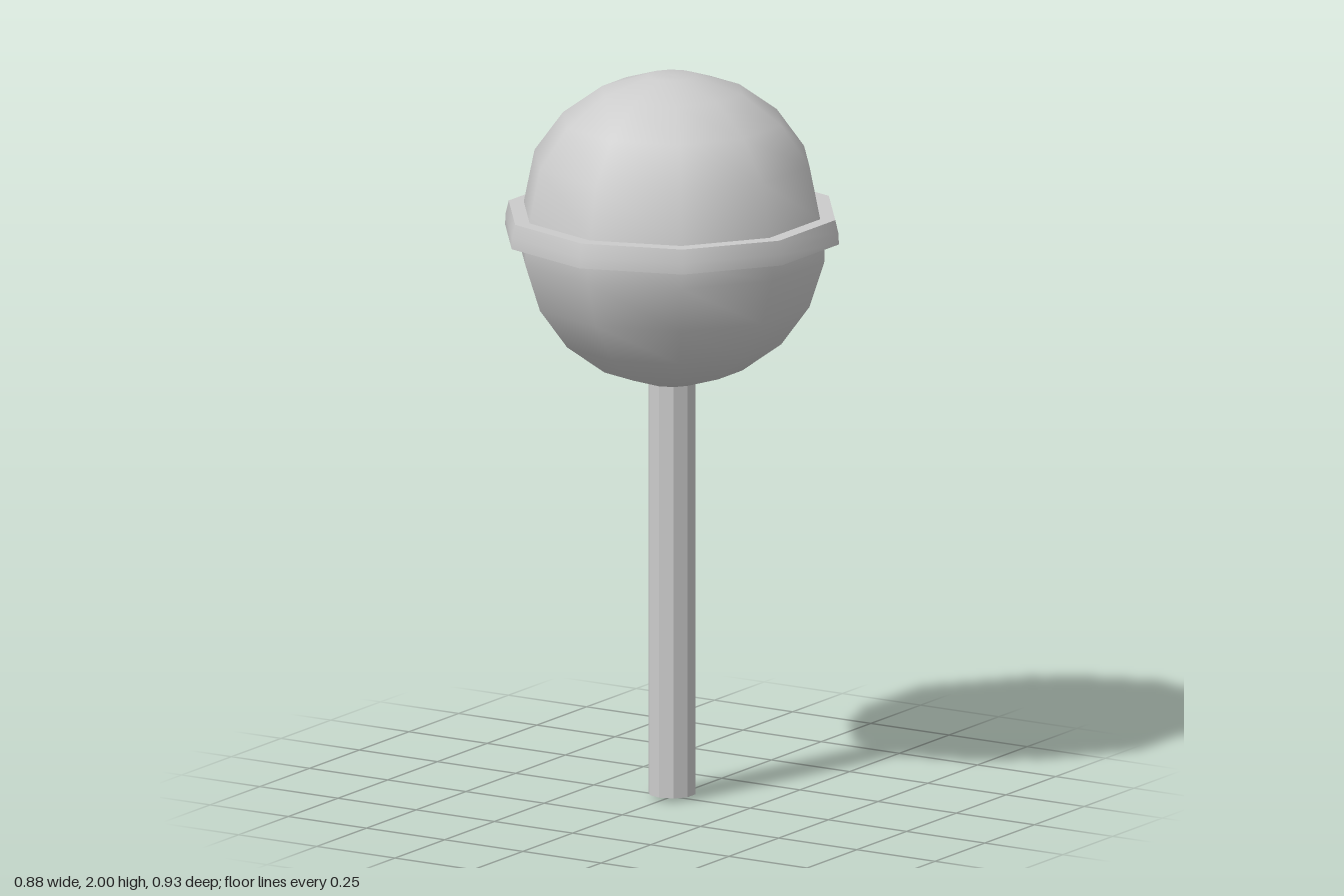
import * as THREE from 'three';

const SIDES = 10;
const material = new THREE.MeshStandardMaterial({ color: 0xcccccc });
const flatMaterial = new THREE.MeshStandardMaterial({ color: 0xcccccc, flatShading: true });

// Ten-sided turned surface; the profile runs from bottom to top
function turned(name, profile, mat = material) {
  const points = profile.map(([r, y]) => new THREE.Vector2(r, y));
  const mesh = new THREE.Mesh(new THREE.LatheGeometry(points, SIDES), mat);
  mesh.name = name;
  return mesh;
}

// Points of the ball's outline, in degrees up from its lowest point
const RADIUS = 0.43, CENTRE = 1.577;
function arc(from, to) {
  const points = [];
  for (let a = from; a <= to; a += 18) {
    const t = THREE.MathUtils.degToRad(a);
    points.push([RADIUS * Math.sin(t), CENTRE - RADIUS * Math.cos(t)]);
  }
  return points;
}

export function createModel() {
  const model = new THREE.Group();
  model.name = 'lollipop';

  // Faceted stick with a slightly bulged foot
  model.add(turned('stick', [[0, 0], [0.065, 0.01], [0.065, 1.18]], flatMaterial));

  // Candy ball: two halves with small flat poles
  const candy = new THREE.Group();
  candy.name = 'candy';
  candy.add(turned('lowerHalf', [[0, 1.152], ...arc(9, 81), [0.424, 1.57]]));
  candy.add(turned('upperHalf', [[0.413, 1.627], ...arc(117, 171), [0, 2]]));
  model.add(candy);

  // Raised band around the middle, in pieces so its rims stay sharp
  const band = new THREE.Group();
  band.name = 'band';
  band.add(turned('bandUnderside', [[0.41, 1.56], [0.465, 1.56]]));
  band.add(turned('bandSide', [[0.465, 1.56], [0.464, 1.59], [0.455, 1.627]]));
  band.add(turned('bandTop', [[0.455, 1.627], [0.4, 1.627]]));
  model.add(band);

  return model;
}
